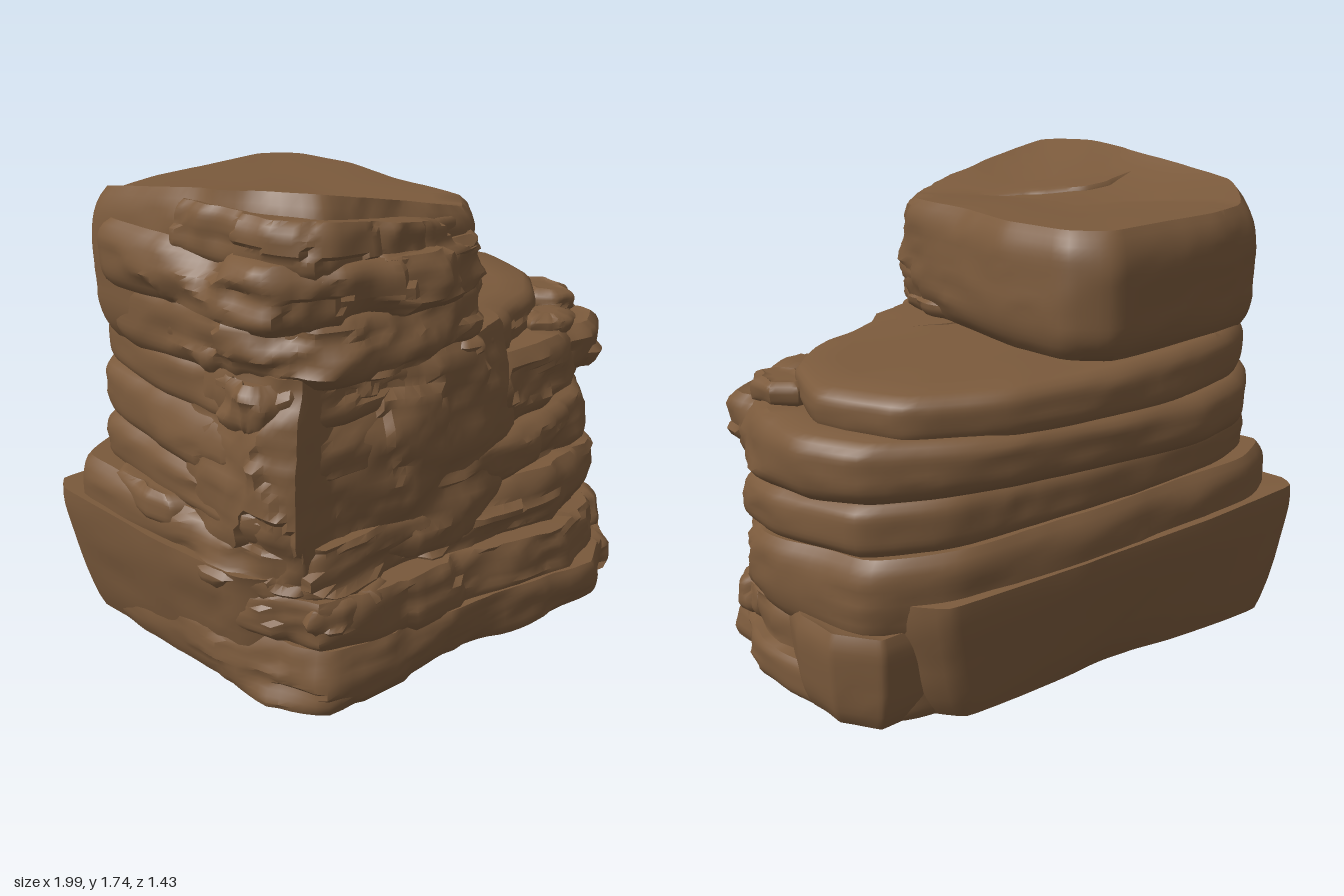
import * as THREE from 'three';
import { toCreasedNormals } from 'three/addons/utils/BufferGeometryUtils.js';

const rock = new THREE.MeshStandardMaterial({ color: 0x7b5a3c });
rock.name = 'brown rock';

// Smooth seeded value noise in -1..1
const hash = (x, y, z) => {
  const s = Math.sin(x * 127.1 + y * 311.7 + z * 74.7) * 43758.5453;
  return s - Math.floor(s);
};
function noise(x, y, z) {
  const i = [x, y, z].map(Math.floor);
  const [u, v, w] = [x - i[0], y - i[1], z - i[2]].map((t) => t * t * (3 - 2 * t));
  let sum = 0;
  for (let a = 0; a < 2; a++) for (let b = 0; b < 2; b++) for (let c = 0; c < 2; c++) {
    sum += hash(i[0] + a, i[1] + b, i[2] + c) * (a ? u : 1 - u) * (b ? v : 1 - v) * (c ? w : 1 - w);
  }
  return sum * 2 - 1;
}
// Stepped noise that breaks the faces into chipped blocks
const chipped = (x, y, z) => hash(Math.floor(x * 4.3 + y), Math.floor(y * 8 + x), Math.floor(z * 4.3 - y)) - 0.5;

const plane = (y, sx = 0, sz = 0) => (x, z) => y + sx * x + sz * z;

// One stone layer: an outline [x, z] running from +x through +z, lofted between two height functions
function slab(name, outline, bottom, top,
  { bevel = 0.05, rough = 0.05, taper = 0, seed = 0, around = 120, rows = 12, tension = 0.2 } = {}) {
  const curve = new THREE.CatmullRomCurve3(
    outline.map(([x, z]) => new THREE.Vector3(x, 0, z)), true, 'catmullrom', tension);
  const edge = curve.getSpacedPoints(around).slice(0, around);
  const centre = edge.reduce((s, p) => s.add(p), new THREE.Vector3()).divideScalar(around);
  const rings = [[0, 0], [0.5, 0], [0.85, 0]];
  for (let j = 0; j <= rows; j++) rings.push([1, j / rows]);
  rings.push([0.85, 1], [0.5, 1], [0, 1]);

  const pos = [], index = [];
  for (const [scale, v] of rings) {
    for (const p of edge) {
      const d = p.clone().sub(centre), len = d.length();
      const y0 = bottom(p.x, p.z), y1 = top(p.x, p.z), y = y0 + (y1 - y0) * v;
      // the front is broken and craggy, the back is worn smooth
      const front = THREE.MathUtils.smoothstep(p.z, -0.2, 0.4);
      const n = noise(p.x * 4 + seed, y * 9, p.z * 4) * 0.6
        + (0.5 - Math.abs(noise(p.x * 7, y * 13 + seed, p.z * 7))) * 0.5
        + front * chipped(p.x + seed, y, p.z) * 0.7;
      const inset = bevel * Math.abs(2 * v - 1) ** 4 + taper * (1 - v) - rough * (0.3 + 0.7 * front) * (n - 0.3);
      const k = scale * Math.max(0.2, 1 - inset / len);
      const x = centre.x + d.x * k, z = centre.z + d.z * k;
      const cap = v < 0.5 ? bottom(x, z) : top(x, z);
      const lumpy = v === 1 ? 0.012 * noise(x * 3 + seed, 0, z * 3) : 0;
      pos.push(x, scale < 1 ? cap + lumpy : y, z);
    }
  }
  for (let j = 0; j < rings.length - 1; j++) for (let i = 0; i < around; i++) {
    const a = j * around + i, b = j * around + (i + 1) % around;
    if (j > 0) index.push(a, a + around, b);
    if (j < rings.length - 2) index.push(b, a + around, b + around);
  }
  const geo = new THREE.BufferGeometry();
  geo.setAttribute('position', new THREE.Float32BufferAttribute(pos, 3));
  geo.setIndex(index);
  const mesh = new THREE.Mesh(toCreasedNormals(geo, 0.75), rock);
  mesh.name = name;
  return mesh;
}

export function createModel() {
  const model = new THREE.Group();
  model.name = 'layeredRock';
  const add = (...args) => model.add(slab(...args));

  // Base: thin front foot, tall flared block along the back and a chunk at the right rear
  add('baseFoot', [[0.96, -0.1], [0.98, 0.18], [0.8, 0.5], [0.6, 0.66], [0.1, 0.63], [-0.3, 0.67], [-0.62, 0.65],
    [-0.76, 0.46], [-0.85, 0], [-0.86, -0.45], [0, -0.52], [0.68, -0.5], [0.86, -0.4]],
  plane(0), plane(0.2, -0.06), { bevel: 0.02, rough: 0.05, seed: 1 });
  add('backBase', [[0.88, -0.2], [0.78, 0], [0, 0.3], [-0.68, 0.52], [-0.83, 0.4], [-0.93, 0], [-1.01, -0.49],
    [-0.97, -0.58], [-0.5, -0.635], [0.1, -0.655], [0.62, -0.64], [0.72, -0.54]],
  plane(0), plane(0.46, -0.04, -0.02), { bevel: 0.02, rough: 0.02, taper: 0.11, seed: 2, tension: 0.1 });
  add('rightRearChunk', [[0.96, -0.2], [0.9, -0.02], [0.6, 0], [0.55, -0.5], [0.8, -0.54], [0.93, -0.4]],
    plane(0), plane(0.34), { bevel: 0.03, rough: 0.02, taper: 0.03, seed: 12, tension: 0.1 });

  // Lower strata
  add('lowerFrontSlab', [[0.92, 0], [0.92, 0.22], [0.78, 0.48], [0.5, 0.62], [0, 0.62], [-0.4, 0.65], [-0.66, 0.63],
    [-0.76, 0.45], [-0.83, 0], [-0.75, -0.4], [0.7, -0.4]],
  plane(0.16, -0.1), plane(0.37, -0.08), { bevel: 0.03, rough: 0.05, seed: 3 });
  add('lowerSlab', [[0.96, -0.1], [0.97, 0.15], [0.78, 0.46], [0.4, 0.56], [-0.2, 0.57], [-0.62, 0.6], [-0.79, 0.47],
    [-0.89, 0], [-0.95, -0.42], [-0.72, -0.56], [0, -0.62], [0.55, -0.6], [0.83, -0.45]],
  plane(0.34, -0.06), plane(0.6, -0.04, -0.05), { bevel: 0.04, rough: 0.07, seed: 4 });
  add('middleSlab', [[0.96, -0.05], [0.96, 0.15], [0.75, 0.42], [0.3, 0.52], [-0.3, 0.52], [-0.68, 0.55], [-0.78, 0.4],
    [-0.84, 0], [-0.85, -0.4], [-0.6, -0.52], [0, -0.58], [0.55, -0.55], [0.83, -0.42]],
  plane(0.57, -0.02, -0.05), plane(0.78, -0.03, -0.05), { bevel: 0.06, rough: 0.06, seed: 5 });

  // Upper strata, overhanging at the back
  add('upperSlab', [[0.98, -0.32], [1, 0], [0.92, 0.22], [0.6, 0.43], [0.2, 0.48], [-0.4, 0.52], [-0.7, 0.53],
    [-0.78, 0.35], [-0.84, 0], [-0.84, -0.4], [-0.65, -0.6], [-0.4, -0.7], [0, -0.715], [0.4, -0.69], [0.65, -0.62], [0.86, -0.52]],
  plane(0.76, 0, -0.08), plane(1.01, 0, 0.01), { bevel: 0.05, rough: 0.06, seed: 6 });
  add('shelfSlab', [[0.87, -0.25], [0.8, 0.05], [0.62, 0.27], [0.3, 0.42], [0, 0.53], [-0.4, 0.53], [-0.68, 0.52],
    [-0.78, 0.3], [-0.83, -0.1], [-0.8, -0.42], [-0.6, -0.58], [-0.3, -0.67], [0, -0.695], [0.4, -0.67], [0.72, -0.53]],
  plane(0.97), plane(1.155, -0.03), { bevel: 0.05, rough: 0.04, seed: 7 });

  // Broad front face spanning the middle strata, hollowed at upper left
  add('frontFace', [[0.4, 0.2], [0.34, 0.44], [0.1, 0.55], [-0.2, 0.56], [-0.5, 0.52], [-0.7, 0.58], [-0.77, 0.45],
    [-0.8, 0.1], [-0.4, -0.1]],
  plane(0.38, -0.04), plane(1.16, -0.03), { bevel: 0.05, rough: 0.05, seed: 8, rows: 26 });

  // Top block: smooth core with a sloping top, and broken ledges along its front
  const slope = (x, z) => Math.max(1.59, 1.525 - 0.2 * x + 0.17 * z);
  add('topCore', [[0.2, 0], [0.19, 0.38], [0.08, 0.52], [-0.25, 0.58], [-0.58, 0.58], [-0.73, 0.42], [-0.83, 0.05],
    [-0.89, -0.3], [-0.78, -0.49], [-0.55, -0.59], [-0.3, -0.63], [0, -0.67], [0.14, -0.57], [0.21, -0.3]],
  plane(1.16, 0.03), slope, { bevel: 0.06, rough: 0.035, seed: 11, rows: 18 });
  add('topLowerLedge', [[0.21, 0.2], [0.2, 0.4], [0.08, 0.57], [-0.3, 0.65], [-0.6, 0.62], [-0.78, 0.45], [-0.85, 0],
    [-0.86, -0.25], [-0.4, -0.3], [0.1, 0]],
  plane(1.16, 0.04), plane(1.37, -0.01), { bevel: 0.05, rough: 0.07, seed: 9 });
  add('topMiddleLedge', [[0.17, 0.3], [0.06, 0.57], [-0.2, 0.68], [-0.55, 0.67], [-0.75, 0.53], [-0.86, 0.1],
    [-0.9, -0.25], [-0.4, -0.3], [0, 0.1]],
  plane(1.33, -0.01), plane(1.53, -0.04), { bevel: 0.05, rough: 0.09, seed: 10 });
  add('topUpperLedge', [[0.14, 0.4], [0.02, 0.56], [-0.25, 0.65], [-0.6, 0.66], [-0.74, 0.5], [-0.83, 0.1], [-0.4, 0]],
    plane(1.47, -0.04), plane(1.57, -0.13, 0.04), { bevel: 0.03, rough: 0.07, seed: 14 });

  // Loose chips: [name, x, z, half width, half depth, bottom, top]
  const chips = [
    ['shelfChip', 0.82, 0.09, 0.11, 0.15, 0.99, 1.1],
    ['shelfChip', 0.64, 0.29, 0.12, 0.1, 0.98, 1.08],
    ['sideChip', 0.72, 0.22, 0.24, 0.18, 0.82, 1.02],
    ['overhangNib', 0.05, 0.47, 0.08, 0.1, 1.03, 1.17],
    ['footChip', 0.8, 0.28, 0.14, 0.16, 0.13, 0.3],
    ['footChip', 0.74, 0.36, 0.18, 0.17, 0, 0.16],
    ['leftChip', -0.84, -0.1, 0.08, 0.22, 0.54, 0.64],
    ['leftChip', -0.73, 0.38, 0.1, 0.15, 0.98, 1.14],
    ['frontChip', -0.5, 0.56, 0.17, 0.1, 0.29, 0.4],
  ];
  chips.forEach(([name, x, z, w, d, y0, y1], i) => {
    const outline = [[1, 0.3], [0.5, 1], [-0.4, 0.9], [-1, 0.4], [-0.8, -0.7], [0.1, -1], [0.9, -0.6]];
    add(name, outline.map(([a, b]) => [x + a * w, z + b * d]), plane(y0), plane(y1, -0.02),
      { bevel: 0.04, rough: 0.05, seed: 20 + i, around: 42, rows: 8, tension: 0.05 });
  });
  return model;
}
